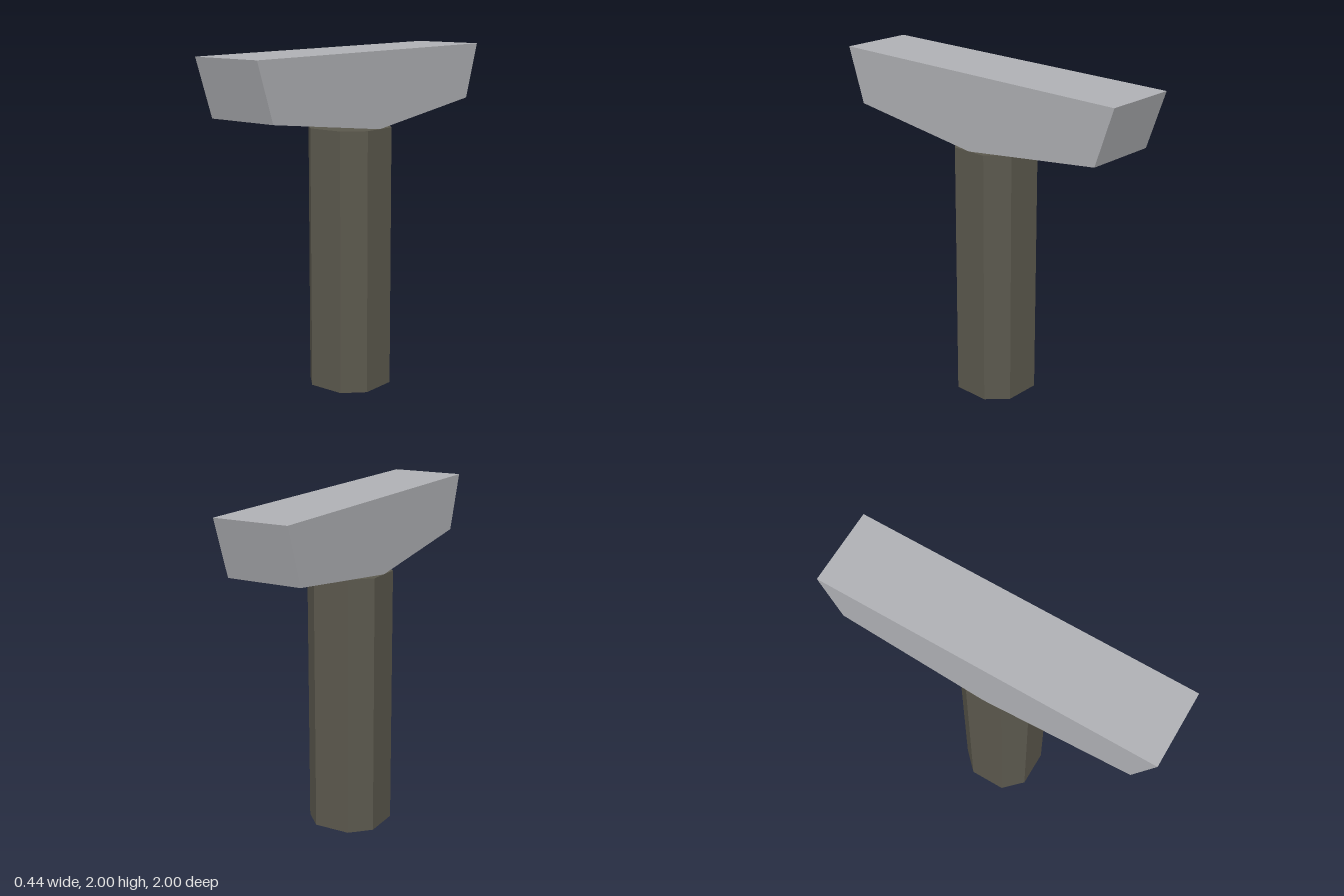
import * as THREE from 'three';

export function createModel() {
  const model = new THREE.Group();
  const lightGrey = new THREE.MeshStandardMaterial({ color: 0xb0b1b5 });
  lightGrey.name = 'light grey';
  const darkOlive = new THREE.MeshStandardMaterial({ color: 0x5b584d });
  darkOlive.name = 'dark olive';

  const half = 0.222, cut = 0.111, postTop = 1.556;

  // Post: square section with 45 degree chamfered corners
  const section = new THREE.Shape([
    [half, -cut], [half, cut], [cut, half], [-cut, half],
    [-half, cut], [-half, -cut], [-cut, -half], [cut, -half],
  ].map(([x, y]) => new THREE.Vector2(x, y)));
  const postGeometry = new THREE.ExtrudeGeometry(section, { depth: postTop, bevelEnabled: false });
  postGeometry.rotateX(-Math.PI / 2);
  const post = new THREE.Mesh(postGeometry, darkOlive);
  post.name = 'post';
  model.add(post);

  // Crossbeam: box whose ends taper inwards and whose underside dips to the post
  const box = new THREE.BoxGeometry(half * 2, 1, 2, 1, 1, 2);
  const p = box.attributes.position;
  for (let i = 0; i < p.count; i++) {
    const z = p.getZ(i);
    if (p.getY(i) > 0) p.setY(i, 2);
    else {
      p.setY(i, Math.abs(z) > 0.5 ? 1.667 : postTop);
      p.setZ(i, z * 0.889);
    }
  }
  const beamGeometry = box.toNonIndexed();
  beamGeometry.computeVertexNormals();
  // Box faces run +x, -x, +y, -y, +z, -z; the underside takes the post colour
  const beam = new THREE.Mesh(beamGeometry,
    [lightGrey, lightGrey, lightGrey, darkOlive, lightGrey, lightGrey]);
  beam.name = 'crossbeam';
  model.add(beam);

  return model;
}
